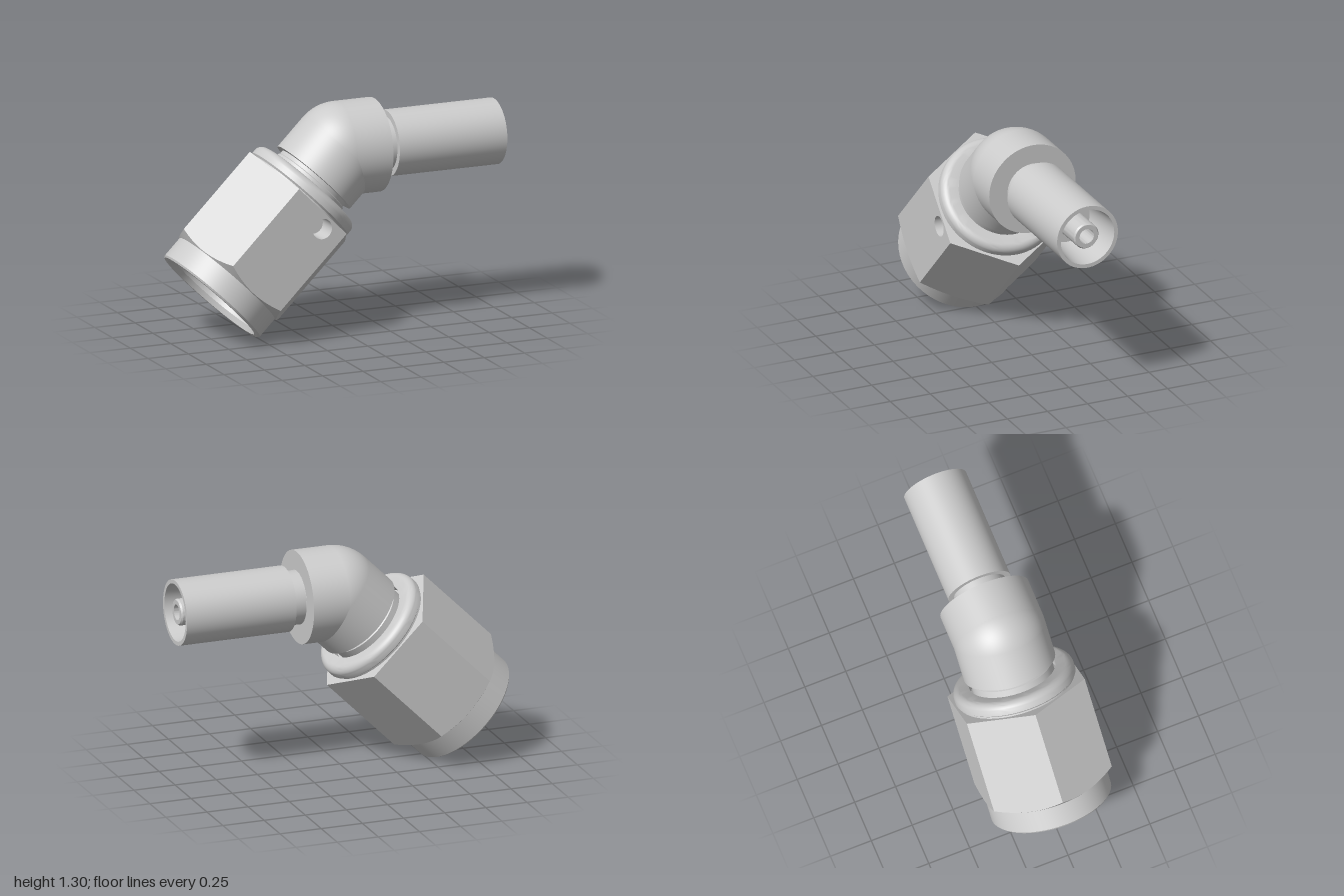
import * as THREE from 'three';
import { toCreasedNormals } from 'three/addons/utils/BufferGeometryUtils.js';

const FLAT = 0.36;                 // centre to flat of the hexagon
const HEX_TOP = 0.755;
const grey = new THREE.MeshStandardMaterial({ color: 0xcccccc });
const greyDouble = new THREE.MeshStandardMaterial({ color: 0xcccccc, side: THREE.DoubleSide });

function add(parent, name, geometry, material = grey) {
  const mesh = new THREE.Mesh(geometry, material);
  mesh.name = name;
  parent.add(mesh);
  return mesh;
}

// Turned part: profile of [radius, height], outside going up
function turned(profile, segments = 72) {
  const points = profile.map(([r, y]) => new THREE.Vector2(r, y));
  return toCreasedNormals(new THREE.LatheGeometry(points, segments), 0.5);
}

// Height of the conical chamfer at a given radius
const chamferY = (r) => 0.14 + (r - 0.354) * 0.6;

// One hexagon side, its lower edge cut by the conical chamfer
function hexSide(withHole) {
  const half = FLAT * Math.tan(Math.PI / 6);
  const shape = new THREE.Shape();
  shape.moveTo(half, HEX_TOP);
  shape.lineTo(-half, HEX_TOP);
  for (let deg = -30; deg <= 30; deg += 5) {
    const a = THREE.MathUtils.degToRad(deg);
    shape.lineTo(FLAT * Math.tan(a), chamferY(FLAT / Math.cos(a)));
  }
  if (withHole) {
    const hole = new THREE.Path();
    hole.absarc(0.07, 0.68, 0.06, 0, Math.PI * 2, true);
    shape.holes.push(hole);
  }
  return new THREE.ShapeGeometry(shape, 16).translate(0, 0, FLAT);
}

// Cone between the round skirt and the hexagon outline
function hexChamfer() {
  const geo = new THREE.LatheGeometry([new THREE.Vector2(0.354, 0.14), new THREE.Vector2(0.416, 0.18)], 72);
  const pos = geo.attributes.position;
  for (let i = 1; i < pos.count; i += 2) {
    const angle = Math.floor(i / 2) * 5;
    const a = THREE.MathUtils.degToRad(((angle + 30) % 60) - 30);
    const r = FLAT / Math.cos(a);
    const phi = THREE.MathUtils.degToRad(angle);
    pos.setXYZ(i, r * Math.sin(phi), chamferY(r), r * Math.cos(phi));
  }
  geo.computeVertexNormals();
  return geo;
}

function createNut() {
  const nut = new THREE.Group();
  nut.name = 'swivelNut';

  // Round skirt with the bore and its end wall
  add(nut, 'nutSkirtAndBore', turned([
    [0.2, 0.6], [0.3, 0.6], [0.3, 0.03], [0.32, 0], [0.345, 0], [0.354, 0.01], [0.354, 0.14],
  ].map(([r, y]) => [r, y])));
  add(nut, 'hexChamfer', hexChamfer());

  for (let k = 0; k < 6; k++) {
    add(nut, 'hexSide', hexSide(k === 0)).rotation.y = k * Math.PI / 3;
  }

  // Flat hexagon end face
  const hex = new THREE.Shape();
  for (let k = 0; k < 6; k++) {
    const a = k * Math.PI / 3;
    const r = FLAT / Math.cos(Math.PI / 6);
    if (k === 0) hex.moveTo(r, 0);
    else hex.lineTo(r * Math.cos(a), r * Math.sin(a));
  }
  add(nut, 'hexEndFace', new THREE.ShapeGeometry(hex).rotateX(-Math.PI / 2).translate(0, HEX_TOP, 0));

  // Rounded collar on the end face
  const collar = [[0.343, HEX_TOP], [0.343, 0.765], [0.355, 0.775]];
  for (let i = 0; i <= 8; i++) {
    const a = i / 8 * Math.PI / 2;
    collar.push([0.31 + 0.045 * Math.cos(a), 0.8 + 0.045 * Math.sin(a)]);
  }
  collar.push([0.255, 0.84], [0.255, 0.79], [0.23, 0.79]);
  add(nut, 'nutCollar', turned(collar));

  // Blind wire hole in the front flat
  const wall = new THREE.CylinderGeometry(0.06, 0.06, 0.13, 32, 1, true);
  wall.rotateX(Math.PI / 2).translate(0.07, 0.68, FLAT - 0.065);
  add(nut, 'wireHoleWall', wall, greyDouble);
  add(nut, 'wireHoleFloor', new THREE.CircleGeometry(0.06, 32).translate(0.07, 0.68, FLAT - 0.13));
  return nut;
}

export function createModel() {
  const model = new THREE.Group();
  model.name = 'elbowFitting';

  // Slanted half, local y running up from the nut opening to the bend
  const slanted = new THREE.Group();
  slanted.name = 'slantedHalf';
  slanted.position.set(-0.75, 0.25, 0);
  slanted.rotation.z = -Math.PI / 4;
  slanted.add(createNut());
  add(slanted, 'seatNose', turned([
    [0.1, 0.6], [0.1, 0.27], [0.13, 0.25], [0.22, 0.4], [0.22, 0.62],
  ]));
  add(slanted, 'seatBoreEnd', new THREE.CircleGeometry(0.1, 32).rotateX(Math.PI / 2).translate(0, 0.6, 0));
  add(slanted, 'elbowNeck', turned([[0.24, 0.76], [0.24, 0.87], [0.233, 0.875], [0.233, 0.9]]));
  add(slanted, 'elbowLowerArm', turned([[0.22, 0.898], [0.27, 0.898], [0.27, 1.117]]));
  model.add(slanted);

  // Ball joining both arms of the bend
  add(model, 'elbowBend', new THREE.SphereGeometry(0.27, 64, 40)).position.set(0.04, 1.04, 0);

  // Level half, local y running along +x from the bend
  const level = new THREE.Group();
  level.name = 'levelHalf';
  level.position.set(0, 1.04, 0);
  level.rotation.z = -Math.PI / 2;
  add(level, 'elbowUpperArm', turned([[0.27, 0.04], [0.27, 0.26], [0.12, 0.26]]));
  add(level, 'shankNeck', turned([[0.155, 0.25], [0.155, 0.34]]));
  add(level, 'shankSleeve', turned([
    [0.14, 0.335], [0.19, 0.335], [0.19, 1], [0.167, 1], [0.143, 0.72], [0.06, 0.72],
  ]));
  add(level, 'innerTube', turned([
    [0.077, 0.7], [0.077, 0.98], [0.07, 0.99], [0.045, 0.99], [0.045, 0.45], [0, 0.45],
  ], 48));
  model.add(level);
  return model;
}
